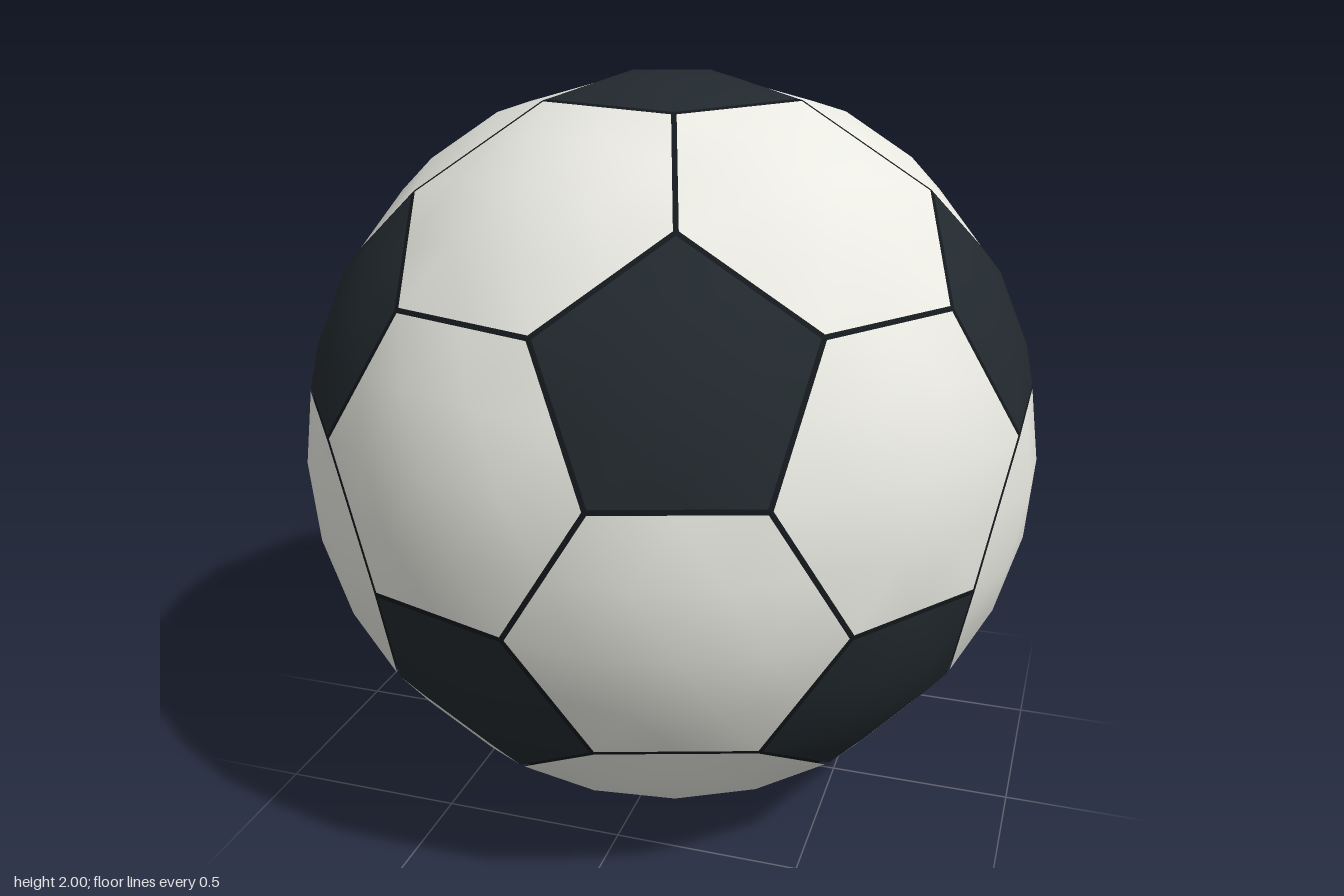
import * as THREE from 'three';

const SEAM = 0.007; // half the width of a seam
const STEPS = 2;    // rings of triangles from a panel's middle to its edge

// Twelve pentagon directions: two poles and two staggered rings of five
function pentagonDirections() {
  const dirs = [new THREE.Vector3(0, 1, 0), new THREE.Vector3(0, -1, 0)];
  const y = 1 / Math.sqrt(5), r = 2 / Math.sqrt(5);
  for (let i = 0; i < 10; i++) {
    const a = (i * Math.PI) / 5;
    dirs.push(new THREE.Vector3(r * Math.cos(a), i % 2 ? -y : y, r * Math.sin(a)));
  }
  return dirs;
}

// Domed panel with straight edges: a fan of subdivided triangles pushed out to the unit sphere
function panelGeometry(corners, inset) {
  const middle = new THREE.Vector3();
  corners.forEach(c => middle.addScaledVector(c, 1 / corners.length));
  const axis = middle.clone().normalize();
  const u = corners[0].clone().sub(middle).normalize();
  const v = axis.clone().cross(u);
  const angle = c => {
    const d = c.clone().sub(middle);
    return Math.atan2(d.dot(v), d.dot(u));
  };
  const sorted = [...corners].sort((a, b) => angle(a) - angle(b));
  const apothem = sorted[0].clone().add(sorted[1]).multiplyScalar(0.5).distanceTo(middle);
  const rim = sorted.map(c => c.clone().lerp(middle, inset / apothem));

  const sides = rim.length, points = [axis], index = [];
  const at = (ring, k) => ring === 0 ? 0 : 1 + sides * ring * (ring - 1) / 2 + k % (sides * ring);
  for (let ring = 1; ring <= STEPS; ring++) {
    for (let s = 0; s < sides; s++) {
      for (let k = 0; k < ring; k++) {
        const p = rim[s].clone().lerp(rim[(s + 1) % sides], k / ring);
        points.push(ring === STEPS ? p : middle.clone().lerp(p, ring / STEPS).normalize());
        const outer = s * ring + k, inner = s * (ring - 1) + k;
        index.push(at(ring - 1, inner), at(ring, outer), at(ring, outer + 1));
        if (k < ring - 1) index.push(at(ring - 1, inner), at(ring, outer + 1), at(ring - 1, inner + 1));
      }
    }
  }
  const geometry = new THREE.BufferGeometry().setFromPoints(points);
  geometry.setIndex(index);
  geometry.computeVertexNormals();
  return geometry;
}

export function createModel() {
  const ball = new THREE.Group();
  ball.name = 'ball';
  const white = new THREE.MeshStandardMaterial({ color: 0xe9e9e2 });
  const black = new THREE.MeshStandardMaterial({ color: 0x22292e });
  const seamDark = new THREE.MeshStandardMaterial({ color: 0x14191d });

  const dirs = pentagonDirections();
  const near = (a, b) => a !== b && a.dot(b) > 0.4;
  const corner = (a, b) => a.clone().multiplyScalar(2).add(b).normalize();

  const core = new THREE.Group();
  core.name = 'seamCore';
  core.scale.setScalar(0.988);
  ball.add(core);

  const addPanel = (name, corners, material) => {
    const panel = new THREE.Mesh(panelGeometry(corners, SEAM), material);
    panel.name = name;
    ball.add(panel);
    // Dark lining that shows through the seams
    const lining = new THREE.Mesh(panelGeometry(corners, 0), seamDark);
    lining.name = 'seamLining';
    core.add(lining);
  };

  // Twelve dark pentagons
  dirs.forEach(a => {
    addPanel('pentagonPanel', dirs.filter(b => near(a, b)).map(b => corner(a, b)), black);
  });

  // Twenty light hexagons, one between each three neighbouring pentagons
  dirs.forEach((a, i) => dirs.forEach((b, j) => dirs.forEach((c, k) => {
    if (i < j && j < k && near(a, b) && near(b, c) && near(a, c)) {
      const pairs = [[a, b], [b, a], [b, c], [c, b], [c, a], [a, c]];
      addPanel('hexagonPanel', pairs.map(([p, q]) => corner(p, q)), white);
    }
  })));

  ball.position.y = 1;
  const model = new THREE.Group();
  model.name = 'football';
  model.add(ball);
  return model;
}
